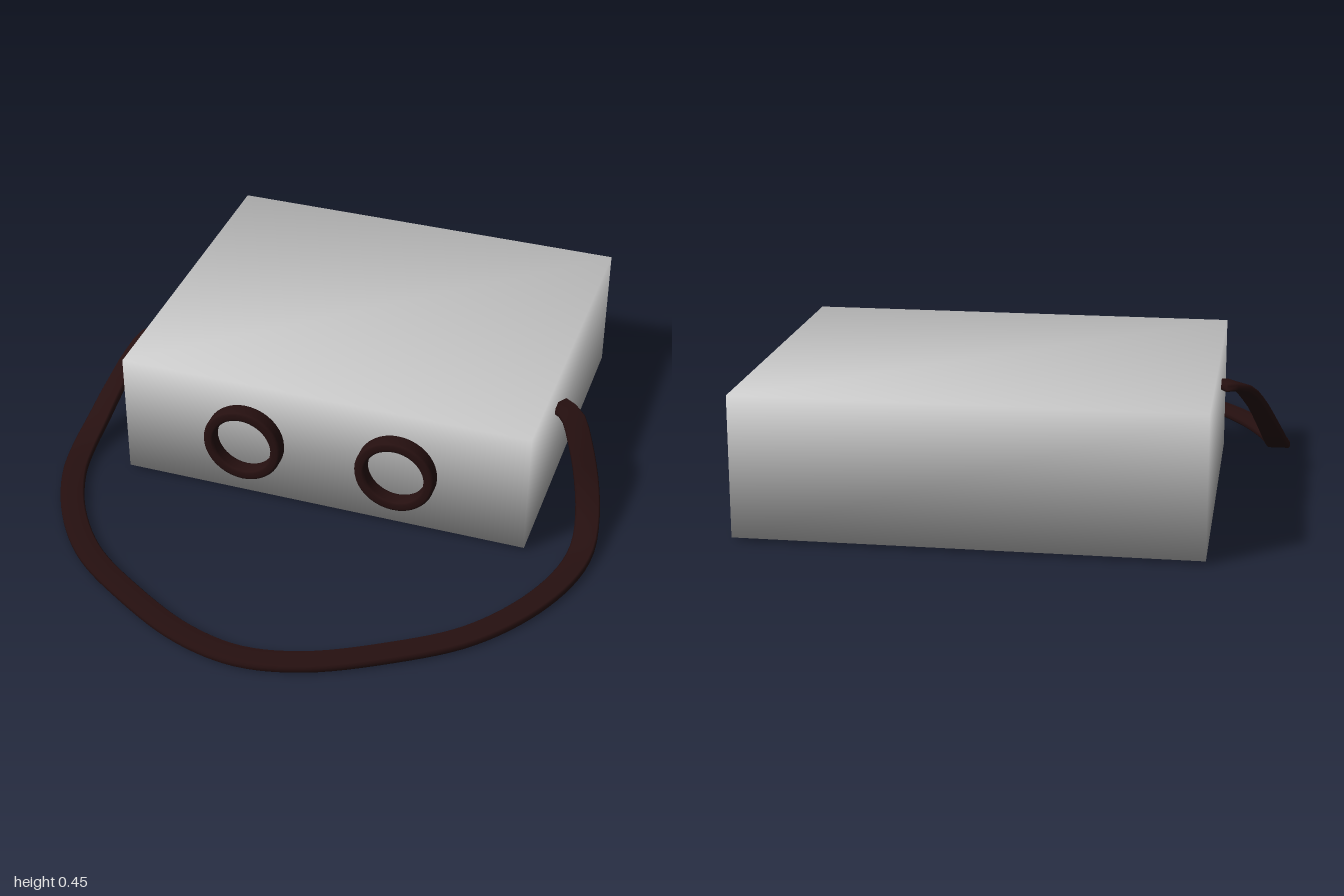
import * as THREE from 'three';
import { mergeVertices } from 'three/addons/utils/BufferGeometryUtils.js';

const shell = new THREE.MeshStandardMaterial({ name: 'pale grey', color: 0xcccccc });
const leather = new THREE.MeshStandardMaterial({ name: 'dark brown', color: 0x261010 });

function part(name, geometry, material) {
  const mesh = new THREE.Mesh(geometry, material);
  mesh.name = name;
  return mesh;
}

// Box with shared corners, so its shading runs smoothly over the edges
function softShadedBox(w, h, d) {
  const box = new THREE.BoxGeometry(w, h, d);
  box.deleteAttribute('normal');
  box.deleteAttribute('uv');
  const merged = mergeVertices(box);
  merged.computeVertexNormals();
  return merged;
}

// Short tube ring with rounded edges, facing +z
function ringGeometry(inner, outer, depth) {
  const e = 0.01;
  const profile = [
    [inner + e, 0], [outer - e, 0], [outer - e * 0.3, e * 0.3], [outer, e],
    [outer, depth - e], [outer - e * 0.3, depth - e * 0.3], [outer - e, depth],
    [inner + e, depth], [inner + e * 0.3, depth - e * 0.3], [inner, depth - e],
    [inner, e], [inner + e * 0.3, e * 0.3], [inner + e, 0],
  ].map(([x, y]) => new THREE.Vector2(x, y));
  return new THREE.LatheGeometry(profile, 40).rotateX(Math.PI / 2);
}

// Flat band swept along a curve, its width kept level
function bandGeometry(curve, width, thickness, steps) {
  const w = width / 2, t = thickness / 2;
  const section = [
    [w, -t * 0.5], [w, t * 0.5], [w * 0.85, t], [-w * 0.85, t],
    [-w, t * 0.5], [-w, -t * 0.5], [-w * 0.85, -t], [w * 0.85, -t],
  ];
  const n = section.length, positions = [], index = [];
  const up = new THREE.Vector3(0, 1, 0);
  for (let i = 0; i <= steps; i++) {
    const p = curve.getPointAt(i / steps);
    const tangent = curve.getTangentAt(i / steps);
    const side = up.clone().cross(tangent).normalize();
    const normal = tangent.clone().cross(side);
    for (const [s, h] of section) {
      const v = p.clone().addScaledVector(side, s).addScaledVector(normal, h);
      positions.push(v.x, v.y, v.z);
    }
    if (i === steps) continue;
    for (let j = 0; j < n; j++) {
      const a = i * n + j, b = i * n + (j + 1) % n;
      index.push(a, b, a + n, b, b + n, a + n);
    }
  }
  // End caps
  const last = steps * n;
  for (let j = 1; j < n - 1; j++) {
    index.push(0, j + 1, j, last, last + j, last + j + 1);
  }
  const g = new THREE.BufferGeometry();
  g.setAttribute('position', new THREE.Float32BufferAttribute(positions, 3));
  g.setIndex(index);
  g.computeVertexNormals();
  return g;
}

export function createModel() {
  const model = new THREE.Group();
  model.name = 'strappedBox';

  // Main body
  const body = part('body', softShadedBox(1.4, 0.436, 1.17), shell);
  body.position.set(0, 0.228, -0.415);
  model.add(body);

  // Two lens rings on the front
  for (const side of [1, -1]) {
    const ring = part(side > 0 ? 'leftLensRing' : 'rightLensRing', ringGeometry(0.1, 0.136, 0.055), leather);
    ring.position.set(side * 0.264, 0.228, 0.168);
    model.add(ring);
  }

  // Strap: drops from both sides and lies on the ground in front
  const half = [
    [0.7, 0.322, -0.22], [0.755, 0.315, -0.185], [0.805, 0.25, -0.12], [0.85, 0.15, -0.045],
    [0.877, 0.07, 0.04], [0.885, 0.028, 0.14], [0.86, 0.016, 0.28], [0.775, 0.013, 0.47],
    [0.635, 0.013, 0.65], [0.44, 0.013, 0.79], [0.2, 0.013, 0.915],
  ];
  const path = [
    ...half,
    [0, 0.013, 0.955],
    ...half.map(([x, y, z]) => [-x, y, z]).reverse(),
  ].map((p) => new THREE.Vector3(...p));
  model.add(part('strap', bandGeometry(new THREE.CatmullRomCurve3(path), 0.08, 0.026, 90), leather));

  return model;
}
